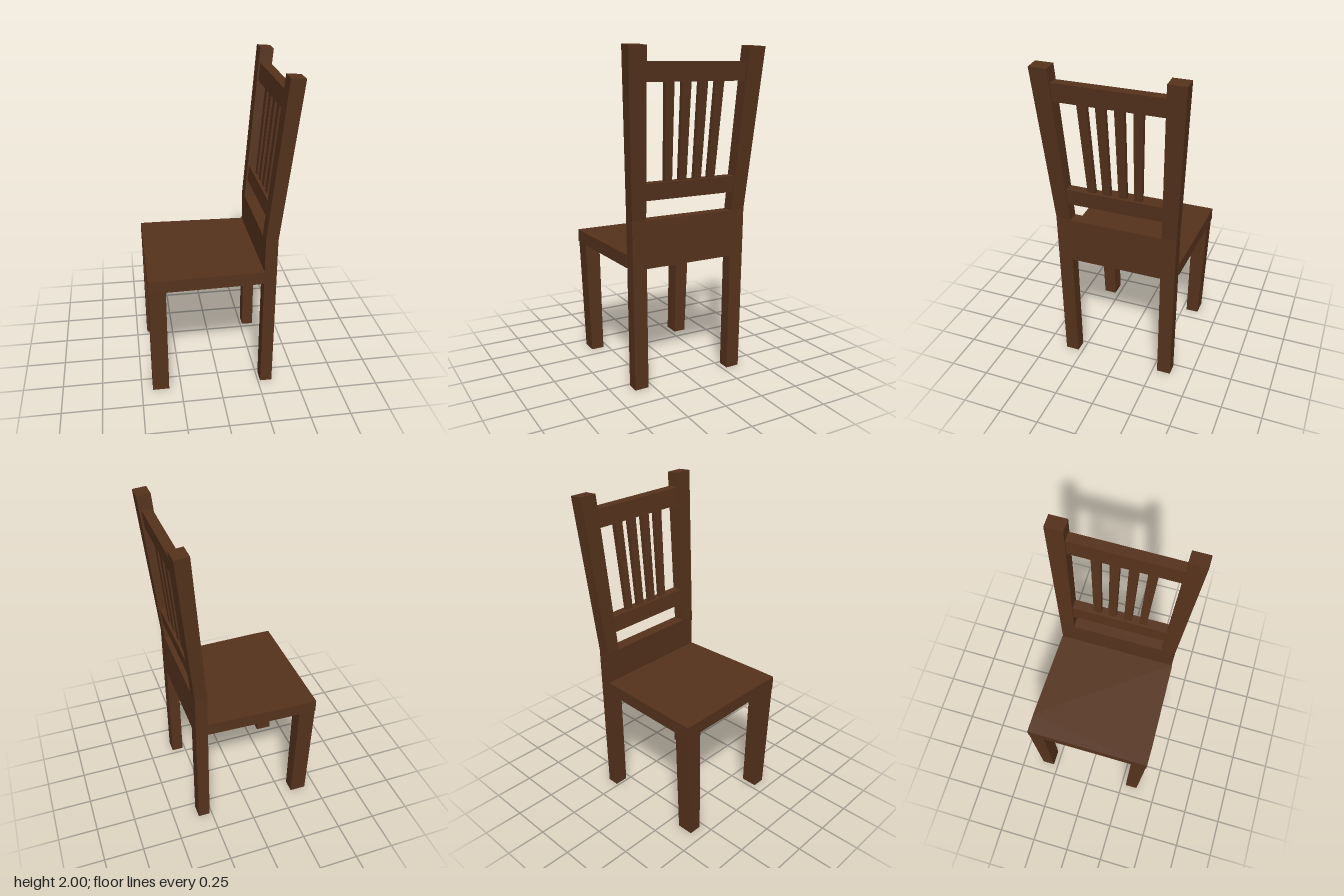
import * as THREE from 'three';

const wood = new THREE.MeshStandardMaterial({ color: 0x55321c, flatShading: true });

// Box lofted through rectangular sections [y, x0, x1, z0, z1], listed bottom to top.
function loft(name, sections) {
  const n = sections.length - 1;
  const geometry = new THREE.BoxGeometry(1, 1, 1, 1, n, 1);
  const p = geometry.attributes.position;
  for (let i = 0; i < p.count; i++) {
    const [y, x0, x1, z0, z1] = sections[Math.round((p.getY(i) + 0.5) * n)];
    p.setXYZ(i, p.getX(i) < 0 ? x0 : x1, y, p.getZ(i) < 0 ? z0 : z1);
  }
  geometry.computeVertexNormals();
  const mesh = new THREE.Mesh(geometry, wood);
  mesh.name = name;
  return mesh;
}

// Same sections reflected across the middle of the chair.
const flip = (sections) => sections.map(([y, x0, x1, z0, z1]) => [y, x0, x1, -z1, -z0]);

// Horizontal offset of the leaning backrest at height y.
const lean = (y) => 0.265 + Math.max(0, y - 1.03) * 0.0885;

export function createModel() {
  const chair = new THREE.Group();
  chair.name = 'chair';

  const pair = (name, sections) => {
    chair.add(loft(name + 'Near', sections), loft(name + 'Far', flip(sections)));
  };

  // Front legs, splayed slightly outwards towards the seat
  pair('frontLeg', [
    [0, -0.43, -0.327, 0.28, 0.362],
    [0.81, -0.435, -0.33, 0.295, 0.395],
  ]);

  // Rear legs running on into the leaning back posts
  const post = loft('backPostNear', [
    [0, 0.265, 0.34, 0.28, 0.367],
    [1.03, 0.265, 0.34, 0.29, 0.38],
    [2, 0.35, 0.435, 0.33, 0.438],
  ]);
  const postFar = loft('backPostFar', flip([
    [0, 0.265, 0.34, 0.28, 0.367],
    [1.03, 0.265, 0.34, 0.29, 0.38],
    [2, 0.35, 0.435, 0.33, 0.438],
  ]));
  for (const mesh of [post, postFar]) {
    // Cut the top square to the lean
    const p = mesh.geometry.attributes.position;
    for (let i = 0; i < p.count; i++) {
      if (p.getY(i) > 1.9 && p.getX(i) > 0.4) p.setY(i, 1.993);
    }
    mesh.geometry.computeVertexNormals();
    chair.add(mesh);
  }

  // Seat: thin tapered top with a shallow apron, open underneath
  const outline = [[-0.435, 0.397], [-0.31, 0.397], [0.265, 0.381]];
  const shape = new THREE.Shape();
  outline.forEach(([x, z], i) => (i ? shape.lineTo(x, z) : shape.moveTo(x, z)));
  [...outline].reverse().forEach(([x, z]) => shape.lineTo(x, -z));
  const seatGeometry = new THREE.ExtrudeGeometry(shape, { depth: 0.012, bevelEnabled: false });
  seatGeometry.rotateX(-Math.PI / 2).translate(0, 0.808, 0);
  const seat = new THREE.Mesh(seatGeometry, wood);
  seat.name = 'seat';
  chair.add(seat);

  chair.add(loft('frontApron', [
    [0.74, -0.435, -0.423, -0.394, 0.394],
    [0.81, -0.435, -0.423, -0.397, 0.397],
  ]));
  const wall = new THREE.Shape();
  outline.forEach(([x, z], i) => (i ? wall.lineTo(x, z) : wall.moveTo(x, z)));
  [...outline].reverse().forEach(([x, z]) => wall.lineTo(x, z - 0.012));
  for (const side of [1, -1]) {
    const g = new THREE.ExtrudeGeometry(wall, { depth: 0.07, bevelEnabled: false });
    g.rotateX(side * Math.PI / 2).translate(0, side > 0 ? 0.81 : 0.74, 0);
    const apron = new THREE.Mesh(g, wood);
    apron.name = side > 0 ? 'sideApronNear' : 'sideApronFar';
    chair.add(apron);
  }

  // Solid panel between the posts behind the seat
  chair.add(loft('backPanel', [
    [0.74, 0.265, 0.34, -0.3, 0.3],
    [1.025, 0.265, 0.34, -0.3, 0.3],
  ]));

  // Cross rails following the lean
  const rail = (name, y0, y1, z) => chair.add(loft(name, [y0, y1].map(
    (y) => [y, lean(y) + 0.008, lean(y) + 0.069, -z, z])));
  rail('lowerRail', 1.14, 1.24, 0.305);
  rail('upperRail', 1.8, 1.91, 0.335);

  // Four slats fanning out towards the top
  const slat = (name, b0, b1, t0, t1) => pair(name, [
    [1.23, lean(1.23) + 0.025, lean(1.23) + 0.053, b0, b1],
    [1.81, lean(1.81) + 0.025, lean(1.81) + 0.053, t0, t1],
  ]);
  slat('innerSlat', 0.025, 0.073, 0.026, 0.083);
  slat('outerSlat', 0.12, 0.167, 0.135, 0.192);

  return chair;
}
